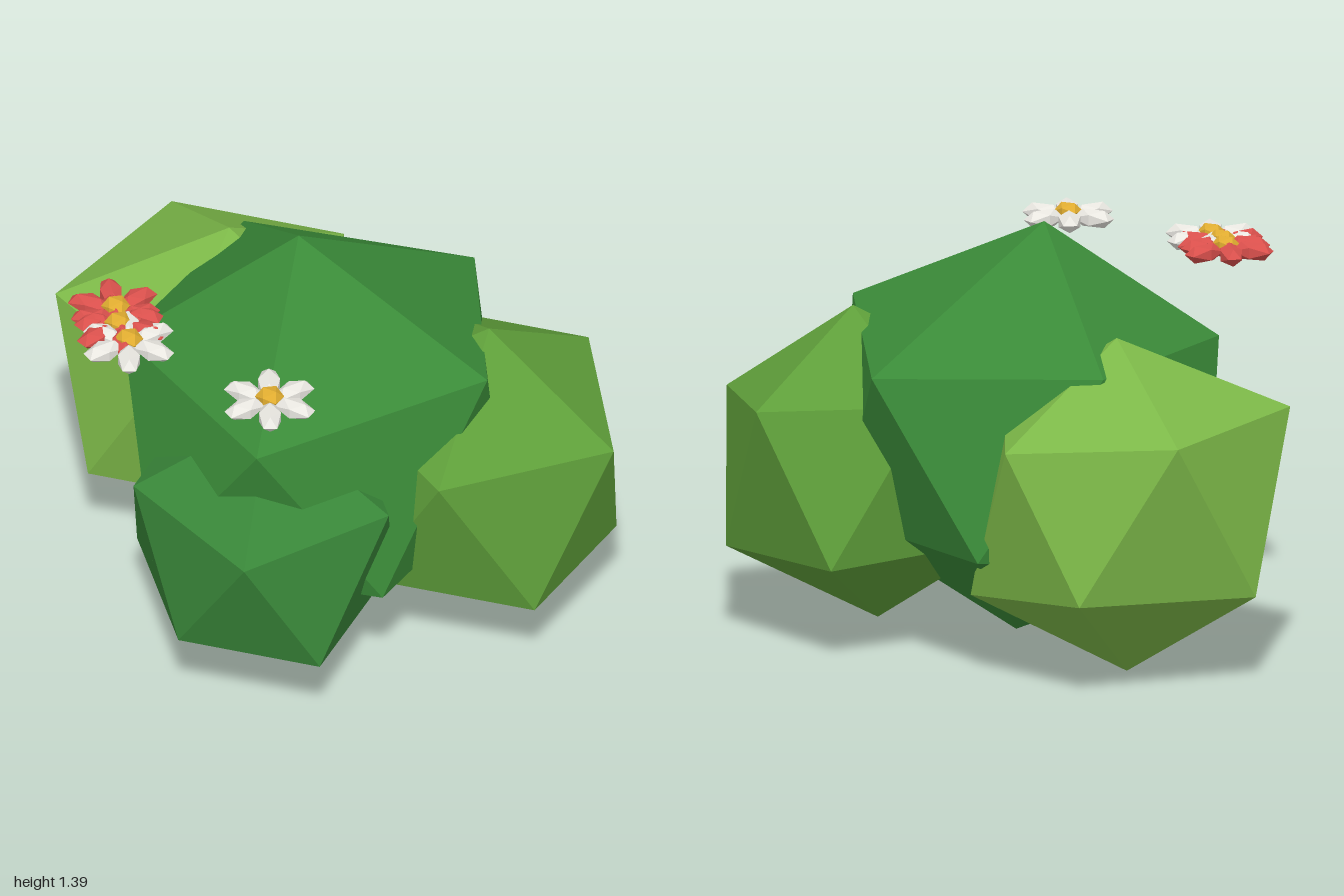
import * as THREE from 'three';

const material = (color) => new THREE.MeshStandardMaterial({ color, flatShading: true });

// Twenty-faced leaf clump: two poles, an upper ring of five corners,
// and a lower ring that is the upper one reflected through the centre.
function leafClump(name, color, center, top, bottom, upper) {
  const lower = upper.map((_, i) => upper[(i + 3) % 5].map((v, k) => 2 * center[k] - v));
  const corners = [];
  for (let i = 0; i < 5; i++) {
    const j = (i + 1) % 5;
    corners.push(
      top, upper[j], upper[i],
      upper[i], upper[j], lower[i],
      lower[i], upper[j], lower[j],
      bottom, lower[i], lower[j]
    );
  }
  const geometry = new THREE.BufferGeometry();
  geometry.setAttribute('position', new THREE.Float32BufferAttribute(corners.flat(), 3));
  geometry.computeVertexNormals();
  const mesh = new THREE.Mesh(geometry, material(color));
  mesh.name = name;
  return mesh;
}

// Six faceted petals around a small domed centre
function flower(name, color, x, z, phase) {
  const group = new THREE.Group();
  group.name = name;
  const petalMaterial = material(color);
  const petalGeometry = new THREE.IcosahedronGeometry(1, 0).scale(0.076, 0.034, 0.042);
  for (let i = 0; i < 6; i++) {
    const angle = phase + (i * Math.PI) / 3;
    const petal = new THREE.Mesh(petalGeometry, petalMaterial);
    petal.name = 'petal';
    petal.position.set(Math.cos(angle) * 0.093, 0, Math.sin(angle) * 0.093);
    petal.rotation.y = -angle;
    group.add(petal);
  }
  const heart = new THREE.Mesh(
    new THREE.IcosahedronGeometry(1, 0).scale(0.048, 0.032, 0.048),
    material(0xe0ac30)
  );
  heart.name = 'flowerCentre';
  heart.position.y = 0.015;
  group.add(heart);
  group.position.set(x, 1.245, z);
  return group;
}

export function createModel() {
  const model = new THREE.Group();
  model.name = 'floweringBush';

  // Foliage
  model.add(
    leafClump('mainFoliage', 0x3a8a38, [0, 0.7, -0.06], [-0.05, 1.39, -0.05], [0.05, 0.02, -0.06], [
      [0.66, 1.07, -0.07], [0.2, 1.0, 0.61], [-0.52, 1.0, 0.27], [-0.52, 1.0, -0.47], [0.2, 0.97, -0.73],
    ]),
    leafClump('rightFoliage', 0x7cb848, [-0.525, 0.565, -0.305], [-0.47, 1.1, -0.3], [-0.52, 0, -0.32], [
      [-0.05, 0.83, -0.3], [-0.42, 0.81, 0.2], [-0.93, 0.86, 0.03], [-0.89, 0.84, -0.62], [-0.35, 0.8, -0.81],
    ]),
    leafClump('leftFoliage', 0x5f9f3a, [0.495, 0.565, -0.27], [0.53, 1.09, -0.29], [0.46, 0.05, -0.25], [
      [1.0, 0.77, -0.3], [0.66, 0.81, 0.23], [0.11, 0.84, -0.03], [0.1, 0.85, -0.55], [0.63, 0.81, -0.74],
    ]),
    leafClump('frontFoliage', 0x388538, [0.05, 0.49, 0.33], [0.07, 0.95, 0.33], [0.03, 0.03, 0.33], [
      [0.55, 0.75, 0.36], [0.27, 0.69, 0.8], [-0.24, 0.75, 0.66], [-0.36, 0.7, 0.02], [0.1, 0.69, -0.11],
    ])
  );

  // Blossoms above the front of the bush
  model.add(
    flower('whiteFlower', 0xe8e6e0, 0.24, 0.595, -0.05),
    flower('whiteFlower', 0xe8e6e0, -0.315, 0.57, -0.05),
    flower('redFlower', 0xd9504c, -0.445, 0.44, -0.2),
    flower('redFlower', 0xd9504c, -0.39, 0.51, -0.2)
  );
  return model;
}
